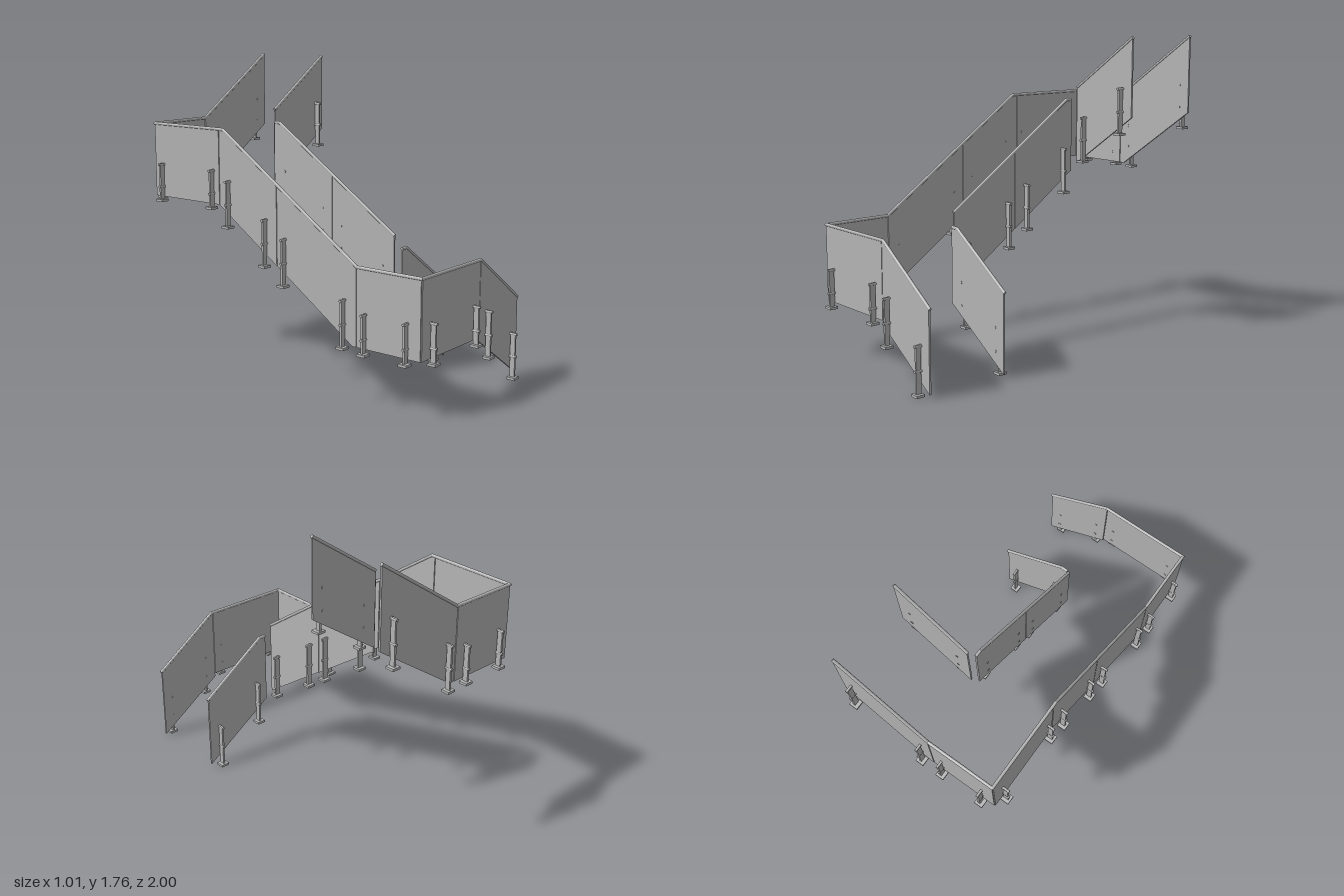
import * as THREE from 'three';
import { mergeGeometries } from 'three/addons/utils/BufferGeometryUtils.js';

const panelMat = new THREE.MeshStandardMaterial({ color: 0xb4b4b4 });
panelMat.name = 'panel grey';
const steelMat = new THREE.MeshStandardMaterial({ color: 0xb4b4b4 });
steelMat.name = 'steel grey';

const THICK = 0.011, GAP = 0.004, RAIL_R = 0.009;
const OUT = 0.947, IN = 0.467, LEFT = -0.455, MID = 0.025; // wall planes

// Flat panel from an outline of [s, y]; s runs along x, or along z for side walls
function panel(group, name, axis, at, outline) {
  const pts = outline.map(([s, y]) => new THREE.Vector2(axis === 'x' ? s : -s, y));
  const geo = new THREE.ExtrudeGeometry(new THREE.Shape(pts), { depth: THICK, bevelEnabled: false });
  geo.translate(0, 0, at - THICK / 2);
  if (axis === 'z') geo.rotateY(Math.PI / 2);
  const mesh = new THREE.Mesh(geo, panelMat);
  mesh.name = name;
  group.add(mesh);
}

// Round handrail along a polyline, with mitred corners and flat ends
function handrail(group, name, path) {
  const P = path.map(p => new THREE.Vector3(...p));
  const N = 12, pos = [];
  const dirs = P.slice(1).map((p, i) => p.clone().sub(P[i]).normalize());
  dirs.forEach((d, i) => {
    const u = new THREE.Vector3(0, 1, 0).cross(d).normalize();
    const v = d.clone().cross(u);
    const ring = (p, other) => {
      const n = d.clone().add(other || d);
      return Array.from({ length: N }, (_, k) => {
        const a = k / N * Math.PI * 2;
        const o = u.clone().multiplyScalar(Math.cos(a) * RAIL_R).addScaledVector(v, Math.sin(a) * RAIL_R);
        return o.addScaledVector(d, -o.dot(n) / d.dot(n)).add(p);
      });
    };
    const A = ring(P[i], dirs[i - 1]), B = ring(P[i + 1], dirs[i + 1]);
    const tri = (...vs) => vs.forEach(q => pos.push(q.x, q.y, q.z));
    for (let k = 0; k < N; k++) {
      const m = (k + 1) % N;
      tri(A[k], A[m], B[m]);
      tri(A[k], B[m], B[k]);
      if (i === 0) tri(P[0], A[m], A[k]);
      if (i === dirs.length - 1) tri(P[i + 1], B[k], B[m]);
    }
  });
  const geo = new THREE.BufferGeometry();
  geo.setAttribute('position', new THREE.Float32BufferAttribute(pos, 3));
  geo.computeVertexNormals();
  const mesh = new THREE.Mesh(geo, steelMat);
  mesh.name = name;
  group.add(mesh);
}

// Upright bracket: foot plate, flat bar and two clamp pins; local +z points away from the panel
function postGeometry(height) {
  const foot = new THREE.BoxGeometry(0.05, 0.014, 0.05).translate(0, 0.007, 0.028);
  const bar = new THREE.BoxGeometry(0.012, height, 0.03).translate(0, height / 2 + 0.007, 0.026);
  const pins = [height, height - 0.13].map(y =>
    new THREE.CylinderGeometry(0.008, 0.008, 0.056, 12).rotateX(Math.PI / 2).translate(0, y, 0.02));
  return mergeGeometries([foot, bar, ...pins]);
}

export function createModel() {
  const model = new THREE.Group();
  model.name = 'stairRailing';
  const panels = new THREE.Group(), rails = new THREE.Group(), posts = new THREE.Group();
  panels.name = 'panels'; rails.name = 'handrails'; posts.name = 'posts';
  model.add(panels, rails, posts);

  // Lower landing and lower flight
  panel(panels, 'frontLandingPanel', 'x', OUT,
    [[LEFT, 0.315], [0.09 - GAP, 0.315], [0.09 - GAP, 0.742], [LEFT, 0.742]]);
  panel(panels, 'frontFlightPanel', 'x', OUT,
    [[0.09, 0.293], [0.49, 0.02], [0.49, 0.464], [0.094, 0.742], [0.09, 0.742]]);
  panel(panels, 'frontInnerPanel', 'x', IN,
    [[0.053, 0.315], [0.062, 0.312], [0.49, 0.02], [0.49, 0.464], [0.094, 0.742], [0.053, 0.742]]);

  // Upper landing and upper flight
  panel(panels, 'backLandingPanel', 'x', -OUT,
    [[LEFT, 0.96], [-0.055, 0.96], [-0.055, 1.386], [LEFT, 1.386]]);
  panel(panels, 'backFlightPanel', 'x', -OUT,
    [[-0.05, 0.96], [-0.02, 0.96], [0.49, 1.31], [0.49, 1.756], [-0.05, 1.386]]);
  panel(panels, 'backInnerPanel', 'x', -IN,
    [[0.053, 1.01], [0.49, 1.31], [0.49, 1.756], [0.053, 1.457]]);

  // Side wall with the middle flight
  const bottom = z => 0.315 + (0.52 - z) * 0.679;
  const top = z => 0.742 + (0.545 - z) * 0.681;
  panel(panels, 'sideLowerLandingPanel', 'z', LEFT,
    [[0.547, 0.315], [0.547, 0.742], [OUT, 0.742], [OUT, 0.315]].reverse());
  panel(panels, 'sideLowerFlightPanel', 'z', LEFT,
    [[0.543, 0.315], [0.52, 0.315], [GAP / 2, bottom(0)], [GAP / 2, top(0)], [0.543, 0.742]]);
  panel(panels, 'sideUpperFlightPanel', 'z', LEFT,
    [[-GAP / 2, bottom(0)], [-0.425, 0.957], [-0.425, 1.386], [-0.4, 1.386], [-GAP / 2, top(0)]]);
  panel(panels, 'sideUpperLandingPanel', 'z', LEFT,
    [[-0.43, 0.96], [-OUT, 0.96], [-OUT, 1.386], [-0.43, 1.386]]);

  // Inner side of the middle flight
  panel(panels, 'innerLowerFlightPanel', 'z', MID,
    [[0.437, bottom(0.437)], [GAP / 2, bottom(0)], [GAP / 2, top(0)], [0.437, top(0.437)]]);
  panel(panels, 'innerUpperFlightPanel', 'z', MID,
    [[-GAP / 2, bottom(0)], [-0.43, 0.96], [-0.44, 0.96], [-0.44, 1.386], [-0.402, 1.386], [-GAP / 2, top(0)]]);

  // Handrails
  handrail(rails, 'outerHandrail', [
    [0.495, 0.46, OUT], [0.094, 0.742, OUT], [LEFT, 0.742, OUT], [LEFT, 0.742, 0.545],
    [LEFT, 1.386, -0.4], [LEFT, 1.386, -OUT], [-0.05, 1.386, -OUT], [0.49, 1.756, -OUT]]);
  handrail(rails, 'frontInnerHandrail', [[0.495, 0.46, IN], [0.094, 0.742, IN], [0.053, 0.742, IN]]);
  handrail(rails, 'backInnerHandrail', [[0.053, 1.457, -IN], [0.49, 1.756, -IN]]);
  handrail(rails, 'middleInnerHandrail',
    [[MID, top(0.437), 0.437], [MID, 1.386, -0.402], [MID, 1.386, -0.44]]);

  // Posts: short ones on the landings, tall ones on the flights
  const shortPost = postGeometry(0.217), tallPost = postGeometry(0.262);
  const post = (name, x, y, z, turn, tall) => {
    const mesh = new THREE.Mesh(tall ? tallPost : shortPost, steelMat);
    mesh.name = name;
    mesh.position.set(x, y, z);
    mesh.rotation.y = turn;
    posts.add(mesh);
  };
  for (const [x, y, tall] of [[-0.38, 0.285], [0.025, 0.285], [0.152, 0.188, 1], [0.423, 0, 1]])
    post('frontPost', x, y, OUT, 0, tall);
  for (const [x, y] of [[0.135, 0.188], [0.423, 0]]) post('frontInnerPost', x, y, IN, Math.PI, 1);
  for (const [x, y, tall] of [[-0.38, 0.934], [-0.12, 0.934], [0.015, 0.934, 1], [0.423, 1.208, 1]])
    post('backPost', x, y, -OUT, Math.PI, tall);
  for (const [x, y] of [[0.13, 1.022], [0.423, 1.208]]) post('backInnerPost', x, y, -IN, 0, 1);
  for (const [z, y] of [[0.87, 0.285], [0.607, 0.285], [-0.47, 0.934], [-0.877, 0.934]])
    post('sideLandingPost', LEFT, y, z, -Math.PI / 2, 0);
  for (const [z, y] of [[0.47, 0.296], [0.063, 0.563], [-0.073, 0.654], [-0.345, 0.838]])
    post('sideFlightPost', LEFT, y, z, -Math.PI / 2, 1);
  for (const [z, y] of [[0.358, 0.374], [0.063, 0.563], [-0.073, 0.654], [-0.36, 0.838]])
    post('innerFlightPost', MID, y, z, Math.PI / 2, 1);

  return model;
}
